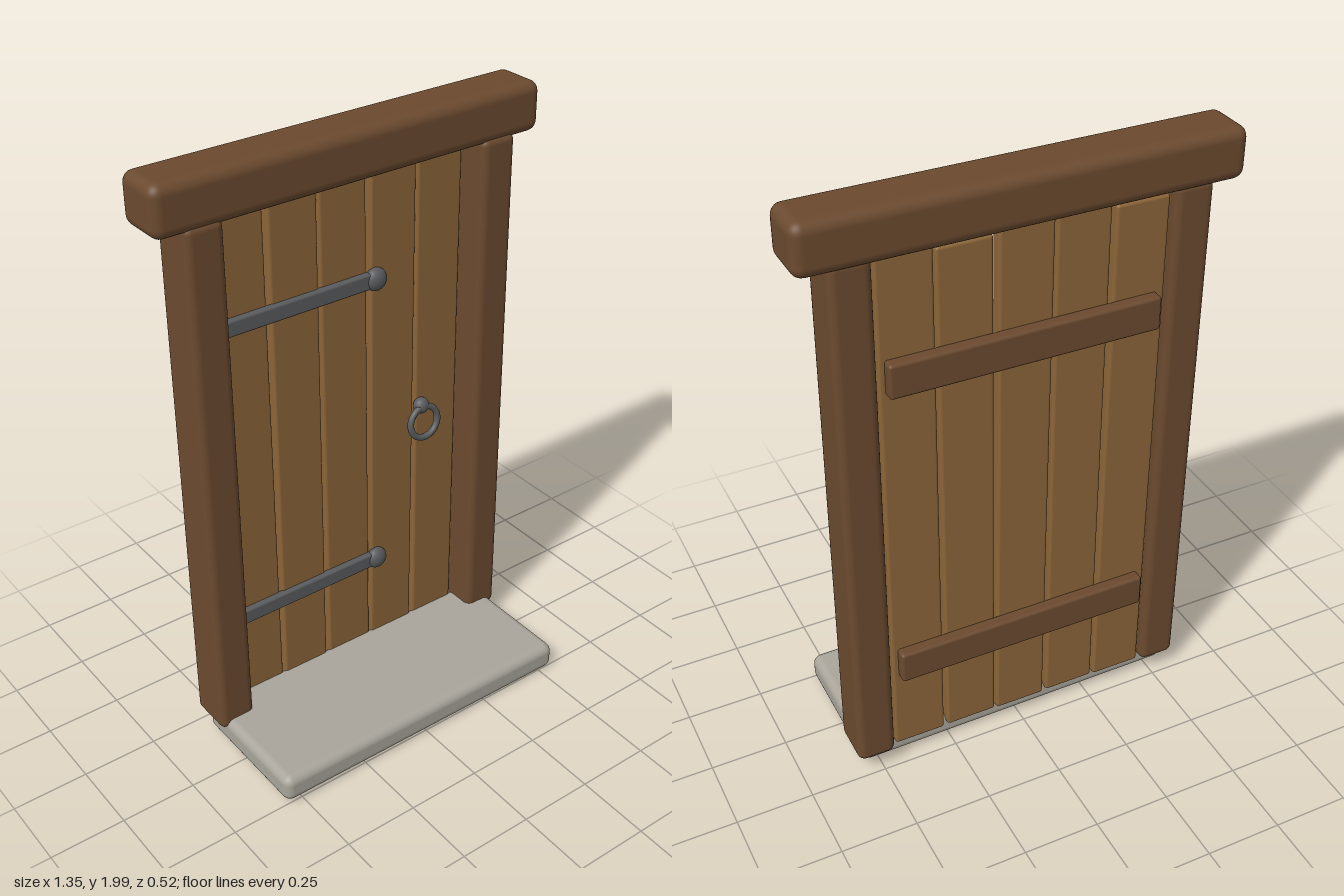
import * as THREE from 'three';
import { RoundedBoxGeometry } from 'three/addons/geometries/RoundedBoxGeometry.js';

const mat = (color) => new THREE.MeshStandardMaterial({ color });

export function createModel() {
  const model = new THREE.Group();
  const frameWood = mat(0x6b4a2f), plankWood = mat(0x8b6539), iron = mat(0x5a5b5e), stone = mat(0xa9a59b);

  function add(name, geometry, material, x, y, z, parent = model) {
    const mesh = new THREE.Mesh(geometry, material);
    mesh.name = name;
    mesh.position.set(x, y, z);
    parent.add(mesh);
    return mesh;
  }

  // Rounded block given by its extents on each axis
  function block(name, material, [x0, x1], [y0, y1], [z0, z1], radius, parent) {
    const geometry = new RoundedBoxGeometry(x1 - x0, y1 - y0, z1 - z0, 3, radius);
    return add(name, geometry, material, (x0 + x1) / 2, (y0 + y1) / 2, (z0 + z1) / 2, parent);
  }

  // Stone doorstep, slightly settled to one side
  const step = block('doorstep', stone, [-0.562, 0.555], [0.012, 0.107], [-0.2, 0.262], 0.03);
  step.rotation.z = -0.008;

  // Frame: two posts and the lintel
  const leftPost = block('leftPost', frameWood, [0.455, 0.58], [0.065, 1.86], [-0.245, -0.085], 0.025);
  leftPost.rotation.z = 0.002;
  const rightPost = block('rightPost', frameWood, [-0.58, -0.455], [0.075, 1.86], [-0.245, -0.085], 0.025);
  rightPost.rotation.z = 0.002;
  const lintel = block('lintel', frameWood, [-0.675, 0.675], [1.84, 2], [-0.26, -0.085], 0.035);
  lintel.rotation.y = 0.004;

  // Door planks with small differences in height and lean
  const door = new THREE.Group();
  door.name = 'door';
  model.add(door);
  const tops = [1.832, 1.842, 1.842, 1.83, 1.842];
  const leans = [0.001, -0.002, 0.002, -0.003, 0.001];
  tops.forEach((top, i) => {
    const x = (i - 2) * 0.181;
    const dz = i % 2 ? 0.003 : 0;
    const plank = block('plank', plankWood, [x - 0.0855, x + 0.0855], [0.075, top], [-0.225 + dz, -0.18 + dz], 0.01, door);
    plank.rotation.z = leans[i];
  });

  // Back battens and front strap hinges, one pair per height
  for (const y of [0.425, 1.475]) {
    block('batten', frameWood, [-0.42, 0.43], [y - 0.055, y + 0.055], [-0.263, -0.22], 0.01, door);
    block('hingeStrap', iron, [-0.45, 0.12], [y - 0.027, y + 0.027], [-0.187, -0.16], 0.008, door);
    const cap = add('hingeCap', new THREE.SphereGeometry(0.038, 20, 14), iron, 0.11, y, -0.17, door);
    cap.scale.z = 0.7;
  }

  // Ring pull hanging from a knob
  const knob = add('ringKnob', new THREE.SphereGeometry(0.028, 18, 12), iron, 0.29, 0.965, -0.165, door);
  knob.scale.z = 0.9;
  const ring = add('ringPull', new THREE.TorusGeometry(0.055, 0.011, 10, 36), iron, 0.29, 0.91, -0.148, door);
  ring.rotation.x = -0.1;

  return model;
}
